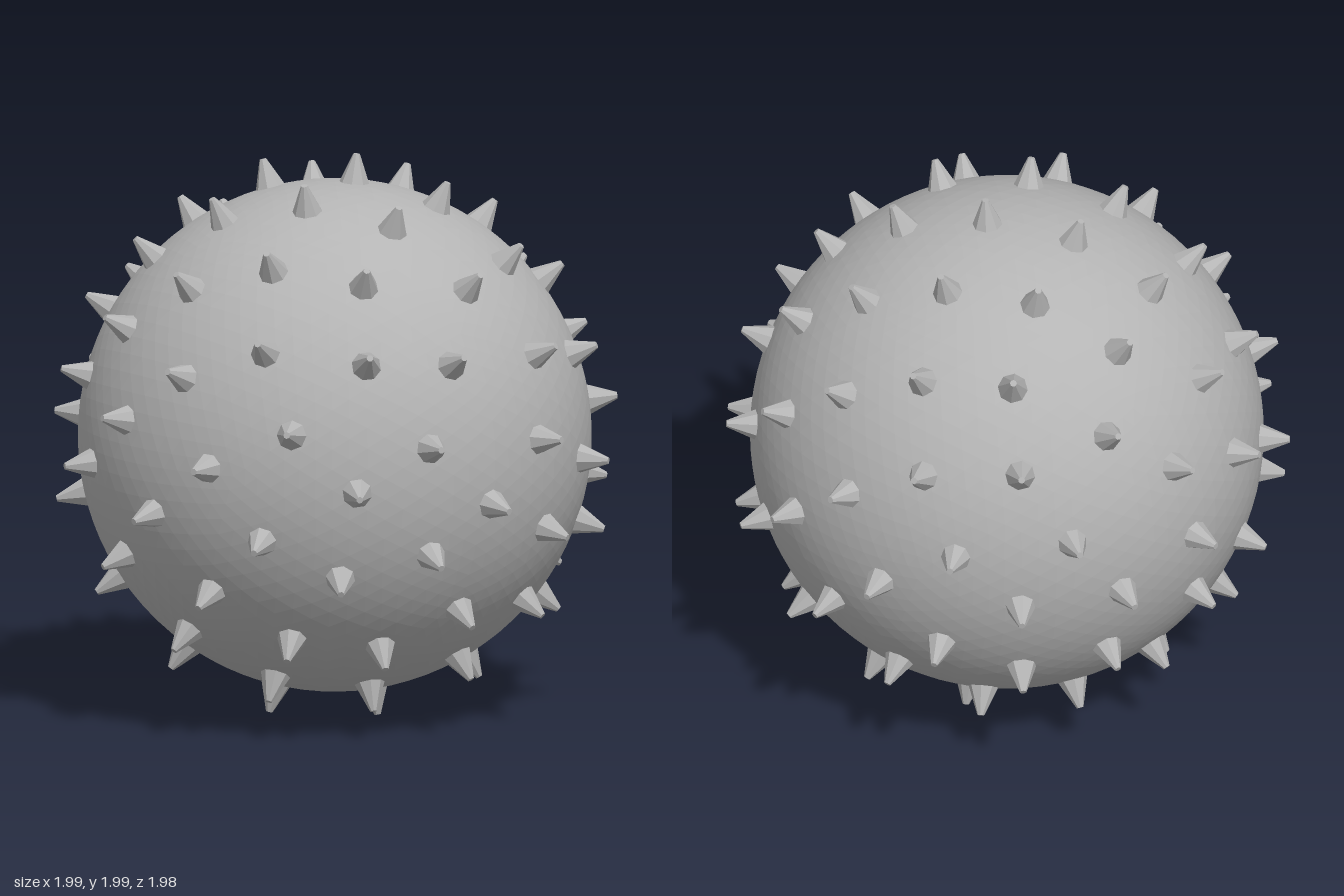
import * as THREE from 'three';

export function createModel() {
  const group = new THREE.Group();
  group.name = 'spikedBall';
  const grey = new THREE.MeshStandardMaterial({ color: 0xb4b4b4, flatShading: true });
  grey.name = 'grey';

  // Finely faceted core
  const ball = new THREE.Mesh(new THREE.IcosahedronGeometry(0.9, 15), grey);
  ball.name = 'ball';
  ball.position.y = 1;
  group.add(ball);

  // Blunt eight-sided spikes on an even golden-angle spiral that runs front to back
  const count = 96, baseAt = 0.88, tipAt = 1.0;
  const spikeGeo = new THREE.CylinderGeometry(0.012, 0.06, tipAt - baseAt, 8);
  spikeGeo.translate(0, (baseAt + tipAt) / 2, 0);
  const golden = Math.PI * (3 - Math.sqrt(5));
  const up = new THREE.Vector3(0, 1, 0);
  const spikes = new THREE.Group();
  spikes.name = 'spikes';
  spikes.position.y = 1;
  for (let i = 0; i < count; i++) {
    const z = 1 - (2 * i + 1) / count;
    const r = Math.sqrt(1 - z * z);
    const a = -golden * (i + 0.5);
    const dir = new THREE.Vector3(r * Math.cos(a), r * Math.sin(a), z);
    const spike = new THREE.Mesh(spikeGeo, grey);
    spike.name = 'spike';
    spike.quaternion.setFromUnitVectors(up, dir);
    spikes.add(spike);
  }
  group.add(spikes);
  return group;
}
